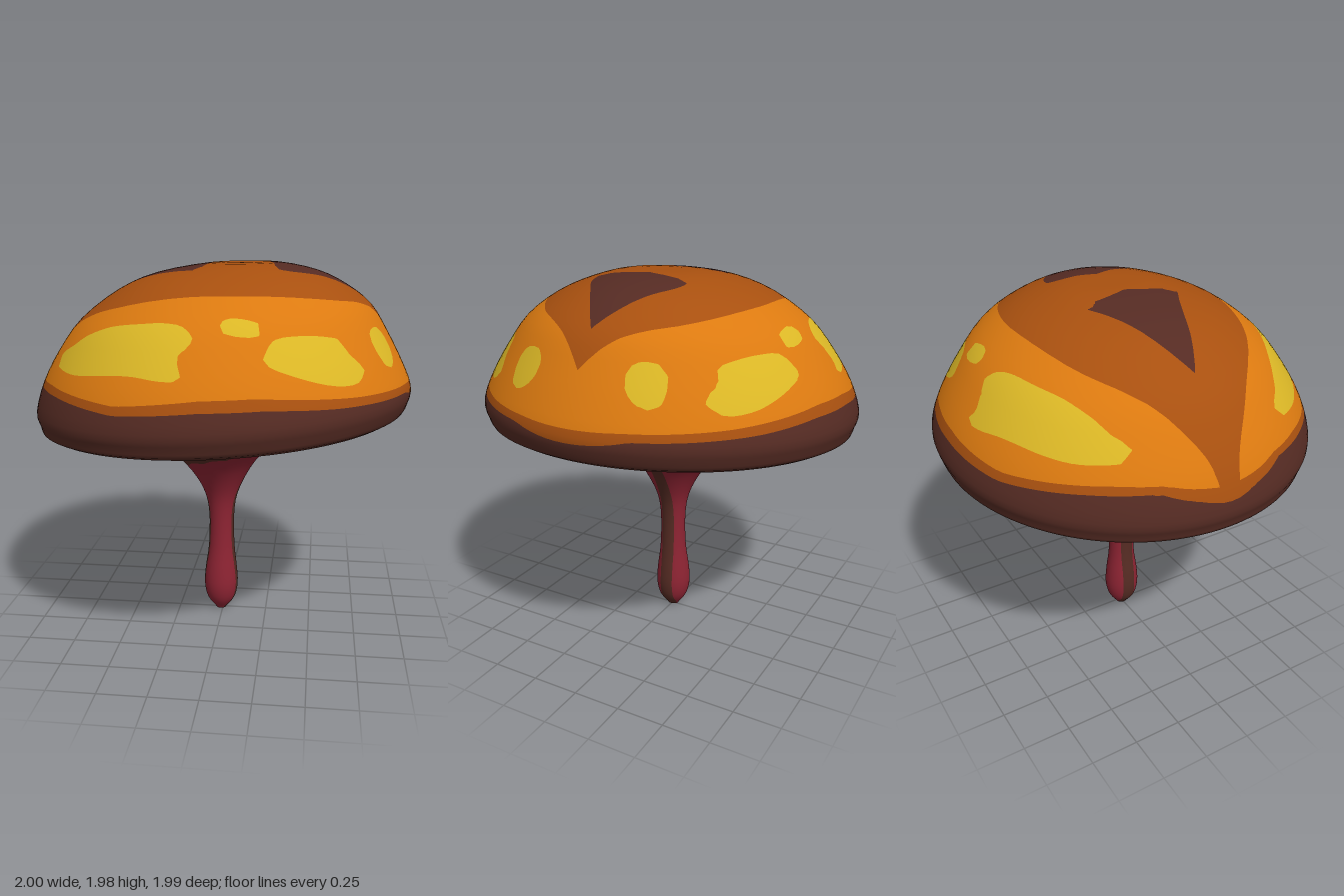
import * as THREE from 'three';

const mat = (name, color) => new THREE.MeshStandardMaterial({ name, color });

// Rings from crown to foot: [left x, left y, right x, right y, half depth]
const RINGS = [
  [0.1, 1.98, 0.1, 1.98, 0],
  [-0.08, 1.975, 0.3, 1.98, 0.2],
  [-0.35, 1.925, 0.5, 1.94, 0.38],
  [-0.55, 1.84, 0.65, 1.87, 0.56],
  [-0.75, 1.69, 0.78, 1.77, 0.73],
  [-0.87, 1.53, 0.87, 1.63, 0.85],
  [-0.955, 1.37, 0.95, 1.48, 0.945],
  [-1, 1.22, 1, 1.36, 0.995],
  [-0.985, 1.15, 0.99, 1.28, 0.98],
  [-0.95, 1.105, 0.94, 1.22, 0.94],
  [-0.7, 1.075, 0.7, 1.16, 0.7],
  [-0.45, 1.045, 0.45, 1.09, 0.43],
  [-0.32, 0.98, 0.3, 1.01, 0.3],
  [-0.21, 0.88, 0.19, 0.91, 0.19],
  [-0.12, 0.75, 0.1, 0.75, 0.105],
  [-0.08, 0.61, 0.065, 0.61, 0.072],
  [-0.08, 0.4, 0.065, 0.4, 0.072],
  [-0.1, 0.25, 0.08, 0.25, 0.09],
  [-0.105, 0.15, 0.085, 0.15, 0.096],
  [-0.088, 0.07, 0.068, 0.07, 0.078],
  [-0.045, 0.012, 0.025, 0.012, 0.038],
  [-0.035, 0, 0.015, 0, 0.028],
  [-0.01, 0, -0.01, 0, 0],
];
const SEG = 128, STEPS = 3;

// Monotone-ish cubic through the rings
function ringAt(t) {
  const n = RINGS.length - 1, i = Math.min(Math.floor(t), n - 1), s = t - i;
  const at = (k) => RINGS[Math.max(0, Math.min(n, k))];
  return RINGS[0].map((_, c) => {
    const a = at(i)[c], b = at(i + 1)[c];
    const m0 = (b - at(i - 1)[c]) / 2, m1 = (at(i + 2)[c] - a) / 2;
    const s2 = s * s, s3 = s2 * s;
    return (2 * s3 - 3 * s2 + 1) * a + (s3 - 2 * s2 + s) * m0 + (3 * s2 - 2 * s3) * b + (s3 - s2) * m1;
  });
}

// Whole skin as triangles of [x, y, z, nx, ny, nz] corners
function skinTriangles() {
  const rows = (RINGS.length - 1) * STEPS, pos = [], idx = [];
  for (let r = 0; r <= rows; r++) {
    const [xl, yl, xr, yr, rz] = ringAt(r / STEPS);
    for (let j = 0; j < SEG; j++) {
      const a = (j / SEG) * Math.PI * 2, c = Math.cos(a);
      pos.push((xl + xr) / 2 + (xr - xl) / 2 * c, Math.max(0, (yl + yr) / 2 + (yr - yl) / 2 * c), rz * Math.sin(a));
      if (r === rows) continue;
      const k = (j + 1) % SEG, p = r * SEG, q = p + SEG;
      if (r > 0) idx.push(p + j, p + k, q + j);
      if (r < rows - 1) idx.push(p + k, q + k, q + j);
    }
  }
  const g = new THREE.BufferGeometry();
  g.setAttribute('position', new THREE.Float32BufferAttribute(pos, 3));
  g.setIndex(idx);
  g.computeVertexNormals();
  const nor = g.attributes.normal;
  for (let j = 0; j < SEG; j++) {
    nor.setXYZ(j, 0, 1, 0);
    nor.setXYZ(rows * SEG + j, 0, -1, 0);
  }
  const vert = (i) => [pos[i * 3], pos[i * 3 + 1], pos[i * 3 + 2], nor.getX(i), nor.getY(i), nor.getZ(i)];
  const tris = [];
  for (let i = 0; i < idx.length; i += 3) tris.push([vert(idx[i]), vert(idx[i + 1]), vert(idx[i + 2])]);
  return tris;
}

// Cuts triangles along f = 0 into [inside (f < 0), outside]
function cut(tris, f) {
  const inside = [], outside = [];
  for (const t of tris) {
    const v = t.map((p) => f(p[0], p[1], p[2]));
    if (v.every((d) => d >= 0)) { outside.push(t); continue; }
    if (v.every((d) => d < 0)) { inside.push(t); continue; }
    const a = [], b = [];
    for (let i = 0; i < 3; i++) {
      const k = (i + 1) % 3;
      (v[i] < 0 ? a : b).push(t[i]);
      if ((v[i] < 0) !== (v[k] < 0)) {
        const s = v[i] / (v[i] - v[k]);
        const m = t[i].map((c, n) => c + (t[k][n] - c) * s);
        a.push(m); b.push(m);
      }
    }
    for (const [poly, out] of [[a, inside], [b, outside]])
      for (let i = 1; i + 1 < poly.length; i++) out.push([poly[0], poly[i], poly[i + 1]]);
  }
  return [inside, outside];
}

// Signed distance to a smooth outline, negative inside
function outline(points, closed = true) {
  const p = new THREE.CatmullRomCurve3(points.map(([x, y]) => new THREE.Vector3(x, y, 0)), closed).getPoints(points.length * 4);
  return (x, y) => {
    let best = Infinity, inn = false;
    for (let i = 0, j = p.length - 1; i < p.length; j = i++) {
      const a = p[i], b = p[j], ex = b.x - a.x, ey = b.y - a.y, wx = x - a.x, wy = y - a.y;
      const s = Math.max(0, Math.min(1, (wx * ex + wy * ey) / (ex * ex + ey * ey || 1)));
      best = Math.min(best, Math.hypot(wx - ex * s, wy - ey * s));
      if ((a.y > y) !== (b.y > y) && x < ex * (y - a.y) / ey + a.x) inn = !inn;
    }
    return inn ? -best : best;
  };
}

// Height line over x
const line = (pts) => (x) => {
  let i = 0;
  while (i < pts.length - 2 && x > pts[i + 1][0]) i++;
  const [a, b] = [pts[i], pts[i + 1]];
  return a[1] + (b[1] - a[1]) * (x - a[0]) / (b[0] - a[0]);
};

export function createModel() {
  const yellow = mat('spotYellow', 0xdcb826), orange = mat('capOrange', 0xdc7a10);
  const rust = mat('crownRust', 0xa8500f), brown = mat('darkBrown', 0x552b23), red = mat('stemRed', 0x8e2433);

  const rim = line([[-1, 1.25], [-0.97, 1.3], [-0.9, 1.36], [-0.75, 1.36], [-0.4, 1.34], [-0.2, 1.36], [0, 1.38], [0.3, 1.39], [0.6, 1.375], [0.95, 1.365], [1, 1.33]]);
  const band = line([[-1, 1.29], [-0.97, 1.34], [-0.9, 1.39], [-0.8, 1.4], [-0.4, 1.38], [-0.2, 1.405], [0, 1.43], [0.25, 1.44], [0.7, 1.41], [0.95, 1.4], [1, 1.39]]);

  // Spots seen along z
  const longSpot = outline([[-0.78, 1.49], [-0.76, 1.55], [-0.7, 1.585], [-0.61, 1.645], [-0.47, 1.7], [-0.31, 1.725], [-0.18, 1.735], [-0.09, 1.72], [-0.045, 1.67], [-0.07, 1.635], [-0.13, 1.605], [-0.09, 1.55], [-0.095, 1.51], [-0.18, 1.5], [-0.31, 1.51], [-0.42, 1.505], [-0.53, 1.49], [-0.66, 1.475], [-0.74, 1.48]]);
  const smallSpot = outline([[0.07, 1.74], [0.1, 1.76], [0.18, 1.757], [0.25, 1.735], [0.26, 1.7], [0.22, 1.685], [0.14, 1.69], [0.08, 1.7]]);
  const wideSpot = outline([[0.275, 1.61], [0.31, 1.67], [0.41, 1.685], [0.54, 1.675], [0.63, 1.645], [0.64, 1.595], [0.7, 1.555], [0.73, 1.505], [0.7, 1.468], [0.6, 1.468], [0.46, 1.505], [0.33, 1.55], [0.27, 1.575]]);
  // Spot seen along x
  const sideSpot = outline([[0.41, 1.6], [0.39, 1.65], [0.34, 1.68], [0.255, 1.676], [0.23, 1.634], [0.245, 1.57], [0.29, 1.523], [0.36, 1.496], [0.41, 1.523]]);
  // Half outlines seen from above, mirrored in z
  const leftMark = outline([[-0.8, -0.1], [-0.66, 0], [-0.5, 0.085], [-0.34, 0.15], [-0.21, 0.21], [-0.11, 0.26], [-0.088, 0.25], [-0.08, 0.155], [-0.06, 0.065], [-0.035, 0], [0, -0.1]], false);
  const rightMark = outline([[0.2, -0.1], [0.24, 0], [0.27, 0.085], [0.295, 0.235], [0.315, 0.25], [0.395, 0.235], [0.51, 0.165], [0.65, 0.075], [0.755, 0], [0.88, -0.1]], false);
  const crown = outline([[0.94, -0.1], [0.87, 0], [0.78, 0.13], [0.6, 0.37], [0.4, 0.5], [0.08, 0.57], [-0.4, 0.48], [-0.77, 0.21], [-0.95, 0.06], [-1.05, 0.05], [-1.06, -0.1]], false);

  // Regions taken from the skin one after another
  const regions = [
    ['stemStripes', brown, (x, y, z) => Math.max(Math.abs(z) - 0.037, y - 1.02, 0.02 - Math.abs(x + 0.01))],
    ['stem', red, (x, y, z) => Math.max(y - 1.06,
      Math.hypot(x - 0.04, z) - 0.245 - 0.014 * Math.abs(Math.sin(6 * Math.atan2(z, x - 0.04))))],
    ['capRimAndUnderside', brown, (x, y) => y - rim(x)],
    ['capEdgeBand', rust, (x, y) => y - band(x)],
    ['longSpots', yellow, (x, y) => longSpot(x, y)],
    ['smallSpots', yellow, (x, y) => smallSpot(x, y)],
    ['wideSpots', yellow, (x, y) => wideSpot(x, y)],
    ['sideSpots', yellow, (x, y, z) => Math.max(sideSpot(Math.abs(z), y), 0.6 - x)],
    ['leftCrownMark', brown, (x, y, z) => leftMark(x, Math.abs(z))],
    ['rightCrownMark', brown, (x, y, z) => rightMark(x, Math.abs(z))],
    ['crown', rust, (x, y, z) => crown(x, Math.abs(z))],
    ['capSide', orange, () => -1],
  ];

  const group = new THREE.Group();
  group.name = 'mushroom';
  let rest = skinTriangles();
  for (const [name, material, f] of regions) {
    const [part, left] = cut(rest, f);
    rest = left;
    const g = new THREE.BufferGeometry(), corners = part.flat();
    g.setAttribute('position', new THREE.Float32BufferAttribute(corners.flatMap((c) => c.slice(0, 3)), 3));
    g.setAttribute('normal', new THREE.Float32BufferAttribute(corners.flatMap((c) => c.slice(3)), 3));
    g.normalizeNormals();
    const mesh = new THREE.Mesh(g, material);
    mesh.name = name;
    group.add(mesh);
  }
  return group;
}
